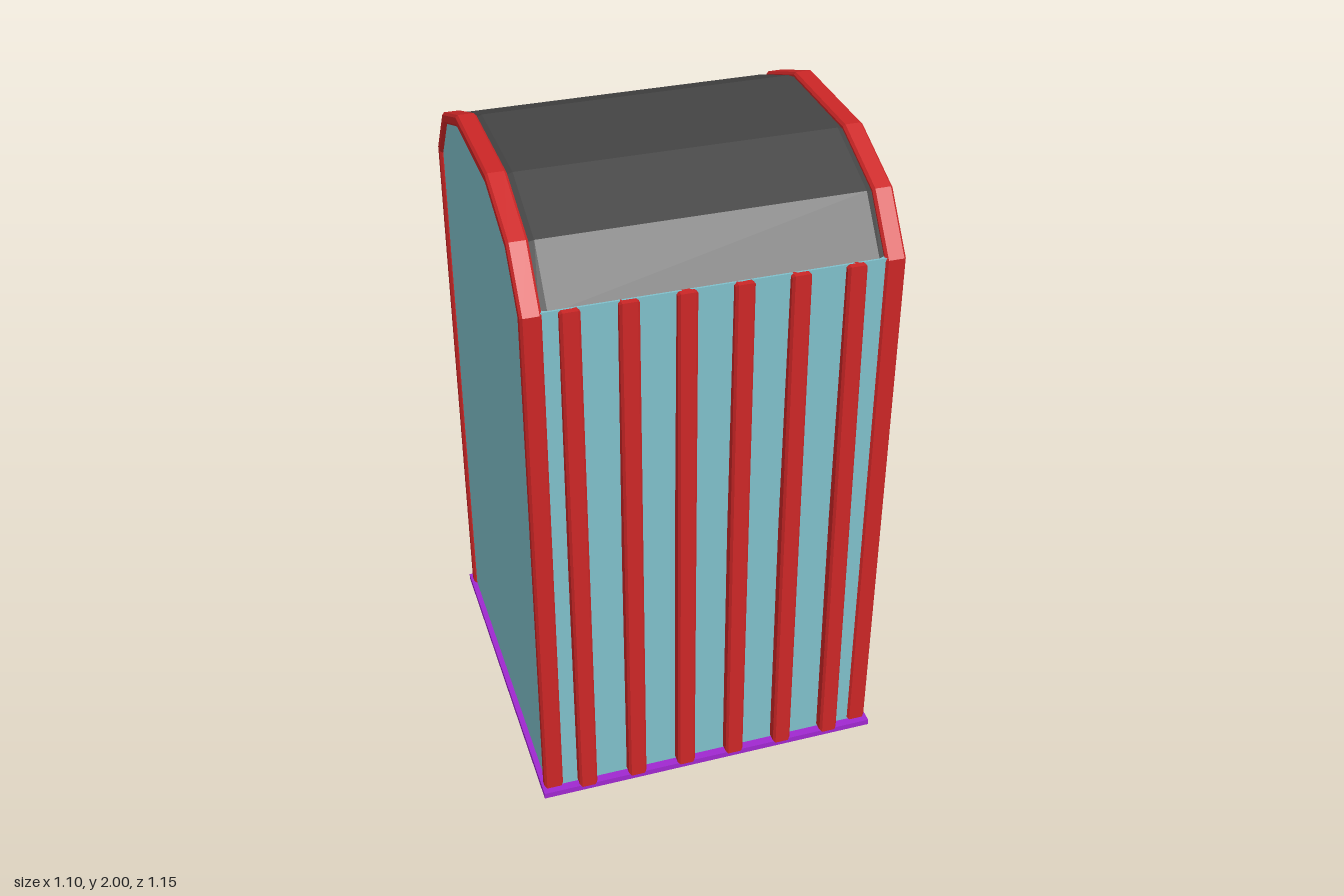
import * as THREE from 'three';

const Z0 = -0.0125; // the booth sits slightly behind the centre of the base
const mat = (color) => new THREE.MeshStandardMaterial({ color, flatShading: true });

// Half of the arch outline as [z, y], moved inward by d
const archHalf = (d, foot) => [
  ...(foot === null ? [] : [[0.5425 - d, foot]]),
  [0.5425 - d, 1.75 - 0.33 * d],
  [0.42 - 0.63 * d, 1.91 - 0.8 * d],
  [0.1925 - 0.18 * d, 2 - d],
];

// Full arch outline, front foot to back foot
function arch(d, foot = null) {
  const half = archHalf(d, foot);
  return [...half, ...half.slice().reverse().map(([z, y]) => [-z, y])]
    .map(([z, y]) => new THREE.Vector2(z + Z0, y));
}

// Extrude a side outline along x, centred on x = 0
function extrudeX(points, width, bevel = 0, bevelX = bevel) {
  const g = new THREE.ExtrudeGeometry(new THREE.Shape(points), {
    depth: width - 2 * bevelX,
    bevelEnabled: bevel > 0,
    bevelSize: bevel,
    bevelOffset: -bevel,
    bevelThickness: bevelX,
    bevelSegments: 1,
  });
  g.translate(0, 0, -(width / 2 - bevelX));
  g.rotateY(-Math.PI / 2);
  return g;
}

const band = (outer, inner, foot) => [...arch(outer, foot), ...arch(inner, foot).reverse()];

export function createModel() {
  const model = new THREE.Group();
  const red = mat(0xcc2626);
  const teal = mat(0x7fc0cb);
  const dark = mat(0x444444);
  const purple = mat(0xa028d0);

  const add = (name, geometry, material, x = 0, y = 0, z = 0) => {
    const mesh = new THREE.Mesh(geometry, material);
    mesh.name = name;
    mesh.position.set(x, y, z);
    model.add(mesh);
    return mesh;
  };

  // Floor plate
  add('base', new THREE.BoxGeometry(1.1, 0.02, 1.125), purple, 0, 0.01, Z0);

  // Arched side frames and the panels that fill them
  const frame = extrudeX(band(0, 0.034, 0.02), 0.06, 0.007);
  const panel = extrudeX(arch(0.02, 0.02), 0.02);
  for (const [side, s] of [['left', 1], ['right', -1]]) {
    add(side + 'Frame', frame, red, s * 0.513);
    add(side + 'Panel', panel, teal, s * 0.523);
  }

  // Curved roof with chamfered ends
  add('roof', extrudeX(band(0.007, 0.034, null), 0.974, 0.008, 0.02), dark);

  // Front and back walls with leaning slats
  const slatShape = (zTop, zBottom, depth) => [
    [zBottom, 0.04], [zTop, 1.755], [zTop - depth, 1.755], [zBottom - depth, 0.04],
  ].map(([z, y]) => new THREE.Vector2(z, y));
  const frontSlat = extrudeX(slatShape(0.542, 0.575, 0.042), 0.057, 0.007);
  const backSlat = extrudeX(slatShape(-0.513, -0.531, 0.042), 0.057, 0.007);
  const wall = new THREE.BoxGeometry(0.99, 1.735, 0.015);
  add('frontWall', wall, teal, 0, 0.8875, 0.516);
  add('backWall', wall, teal, 0, 0.8875, -0.541);
  for (let i = 0; i < 6; i++) {
    const x = -0.411 + i * 0.1615;
    add('frontSlat', frontSlat, red, x);
    add('backSlat', backSlat, red, x);
  }
  return model;
}
